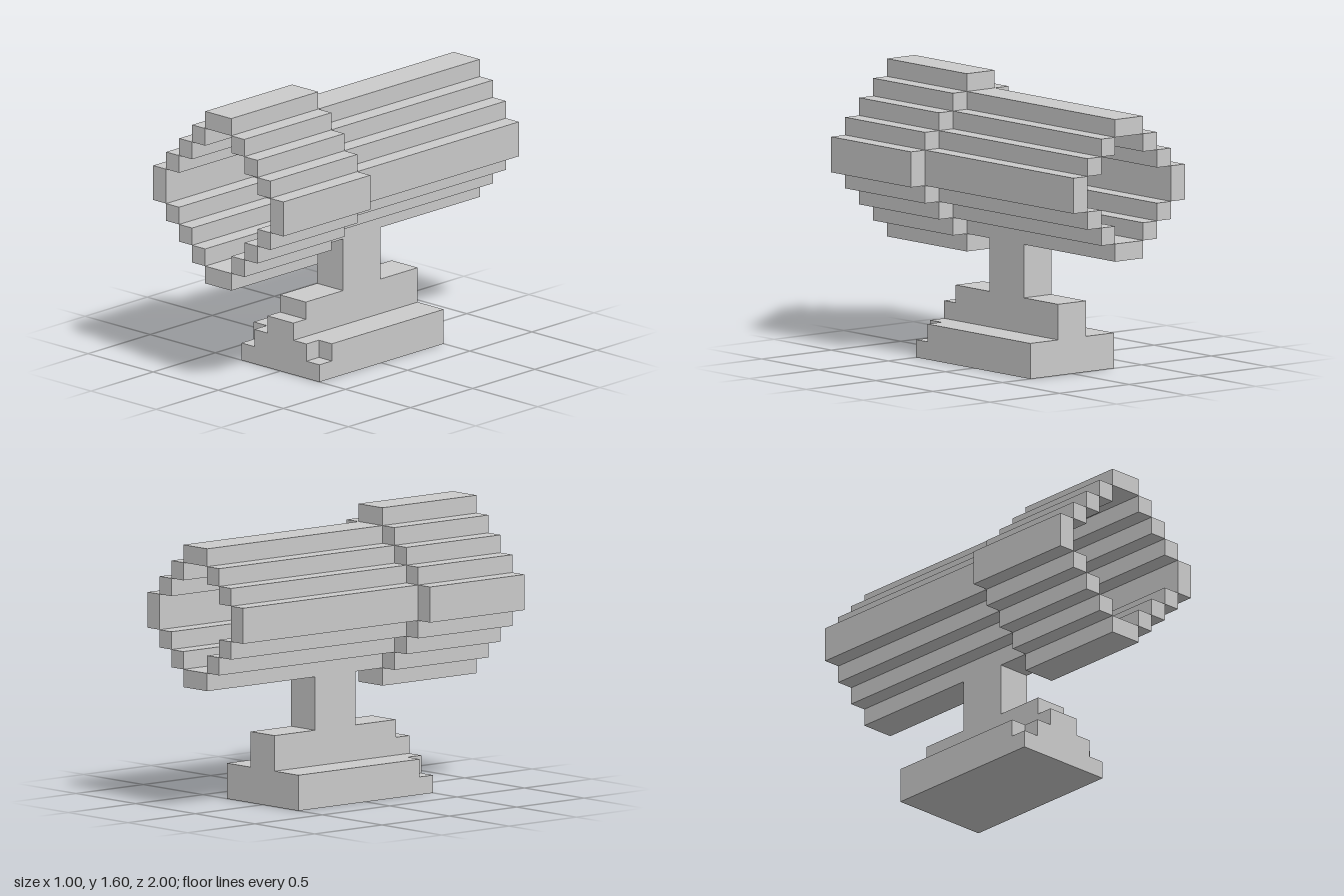
import * as THREE from 'three';

const material = new THREE.MeshStandardMaterial({ color: 0xcccccc, flatShading: true });

// Box given by its min and max corners
function block(parent, name, [x0, y0, z0], [x1, y1, z1]) {
  const mesh = new THREE.Mesh(new THREE.BoxGeometry(x1 - x0, y1 - y0, z1 - z0), material);
  mesh.position.set((x0 + x1) / 2, (y0 + y1) / 2, (z0 + z1) / 2);
  mesh.name = name;
  parent.add(mesh);
}

// Hollow stepped tube of bars around the axis y = 1.1, with half-width r
function steppedTube(name, r, z0, z1) {
  const tube = new THREE.Group();
  tube.name = name;
  const u = 0.1, cy = 1.1;
  for (const s of [-1, 1]) {
    // wide bars at top/bottom and at the sides
    const y = cy + s * (r - u / 2), x = s * (r - u / 2);
    block(tube, 'capBar', [-u, y - u / 2, z0], [u, y + u / 2, z1]);
    block(tube, 'sideBar', [x - u / 2, cy - u, z0], [x + u / 2, cy + u, z1]);
    // diagonal staircase bars
    for (const t of [-1, 1]) {
      for (let d = 0.15; d < r - u; d += u) {
        const bx = s * d, by = cy + t * (r - d);
        block(tube, 'stepBar', [bx - u / 2, by - u / 2, z0], [bx + u / 2, by + u / 2, z1]);
      }
    }
  }
  return tube;
}

export function createModel() {
  const model = new THREE.Group();
  model.name = 'mountedTube';

  // Barrel: wide front sleeve and narrower rear tube
  model.add(steppedTube('frontSleeve', 0.5, 0.3, 1));
  model.add(steppedTube('rearTube', 0.4, -1, 0.3));
  block(model, 'innerCore', [-0.1, 1, -0.3], [0.1, 1.2, 0.3]);

  // Base plate with notched front corners
  const base = new THREE.Group();
  base.name = 'base';
  block(base, 'plate', [-0.3, 0, -0.5], [0.3, 0.1, 0.5]);
  block(base, 'plateTop', [-0.3, 0.1, -0.5], [0.3, 0.2, 0.4]);
  block(base, 'plateNose', [-0.2, 0.1, 0.4], [0.2, 0.2, 0.5]);

  // Central rib with a front step, and the post
  block(base, 'rib', [-0.1, 0.2, -0.5], [0.1, 0.4, 0.4]);
  block(base, 'ribStep', [-0.1, 0.2, 0.4], [0.1, 0.3, 0.5]);
  block(base, 'post', [-0.1, 0.4, -0.2], [0.1, 0.7, 0.1]);
  model.add(base);

  return model;
}
